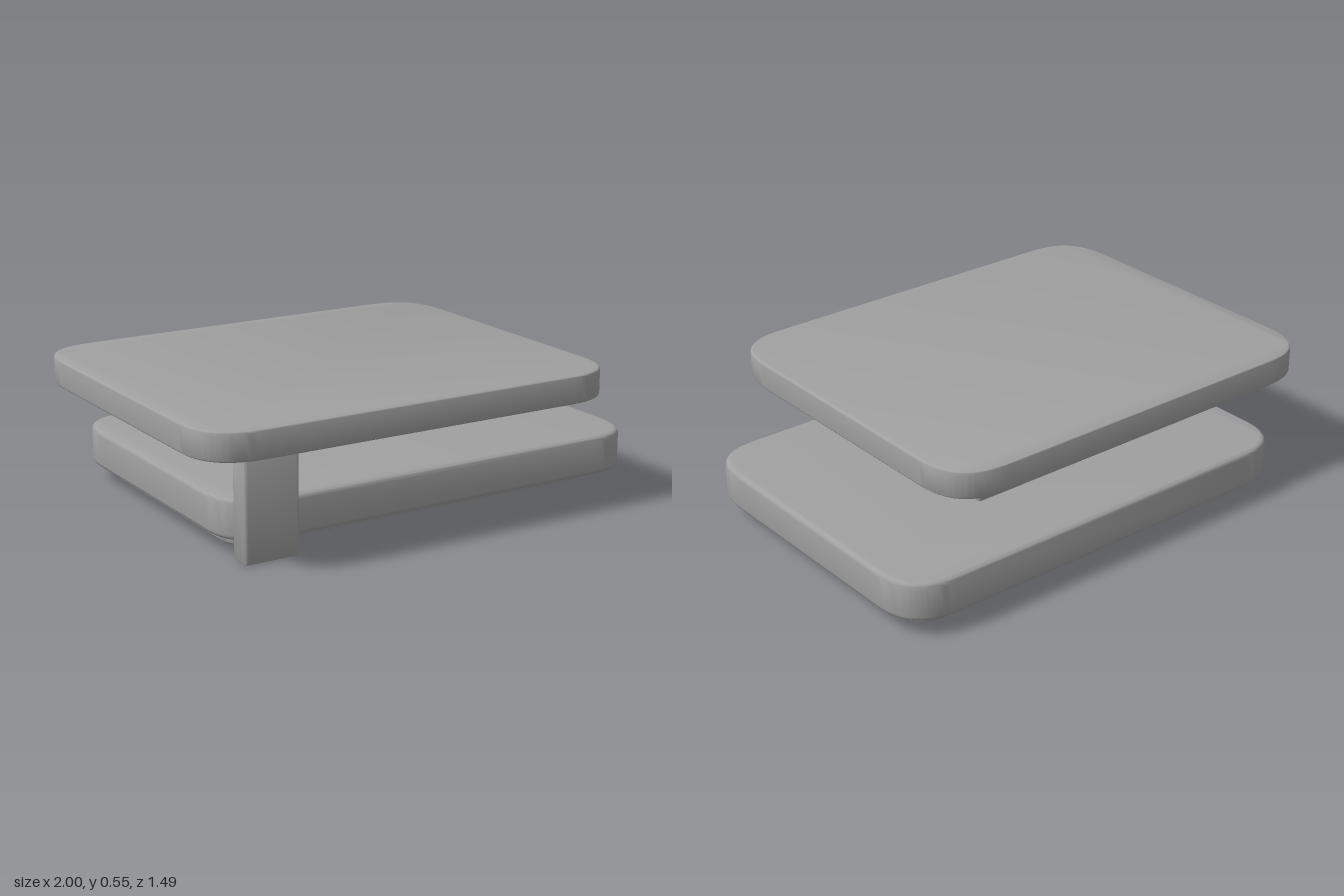
import * as THREE from 'three';
import { toCreasedNormals } from 'three/addons/utils/BufferGeometryUtils.js';

const grey = new THREE.MeshStandardMaterial({ color: 0xa0a0a0 });
grey.name = 'grey';

// Horizontal rounded slab filling the given ranges, with softened rims
function slab(name, [x0, x1], [y0, y1], [z0, z1], corner, bevel) {
  const w = (x1 - x0) / 2, d = (z1 - z0) / 2, c = corner;
  const s = new THREE.Shape();
  s.moveTo(-w + c, -d);
  s.lineTo(w - c, -d);
  s.quadraticCurveTo(w, -d, w, -d + c);
  s.lineTo(w, d - c);
  s.quadraticCurveTo(w, d, w - c, d);
  s.lineTo(-w + c, d);
  s.quadraticCurveTo(-w, d, -w, d - c);
  s.lineTo(-w, -d + c);
  s.quadraticCurveTo(-w, -d, -w + c, -d);
  const geo = new THREE.ExtrudeGeometry(s, {
    depth: y1 - y0 - 2 * bevel,
    bevelThickness: bevel,
    bevelSize: bevel,
    bevelOffset: -bevel,
    bevelSegments: 4,
    curveSegments: 14,
  });
  geo.rotateX(-Math.PI / 2);
  geo.translate((x0 + x1) / 2, y0 + bevel, (z0 + z1) / 2);
  const mesh = new THREE.Mesh(toCreasedNormals(geo, 0.6), grey);
  mesh.name = name;
  return mesh;
}

export function createModel() {
  const model = new THREE.Group();
  model.name = 'twoTierTable';
  model.add(
    // Upper and lower tiers, offset from each other, over a recessed plinth
    slab('upperTop', [-1, 0.75], [0.435, 0.545], [-0.69, 0.745], 0.22, 0.01),
    slab('lowerTop', [-0.82, 1], [0.065, 0.22], [-0.745, 0.555], 0.2, 0.02),
    slab('plinth', [-0.73, 0.91], [0, 0.07], [-0.655, 0.4], 0.12, 0.006),
    // Supports under the upper tier
    slab('frontLeg', [-0.78, -0.56], [0, 0.437], [0.49, 0.585], 0.012, 0.005),
    slab('rearSupport', [0.21, 0.42], [0.218, 0.437], [-0.39, -0.185], 0.012, 0.005),
  );
  return model;
}
